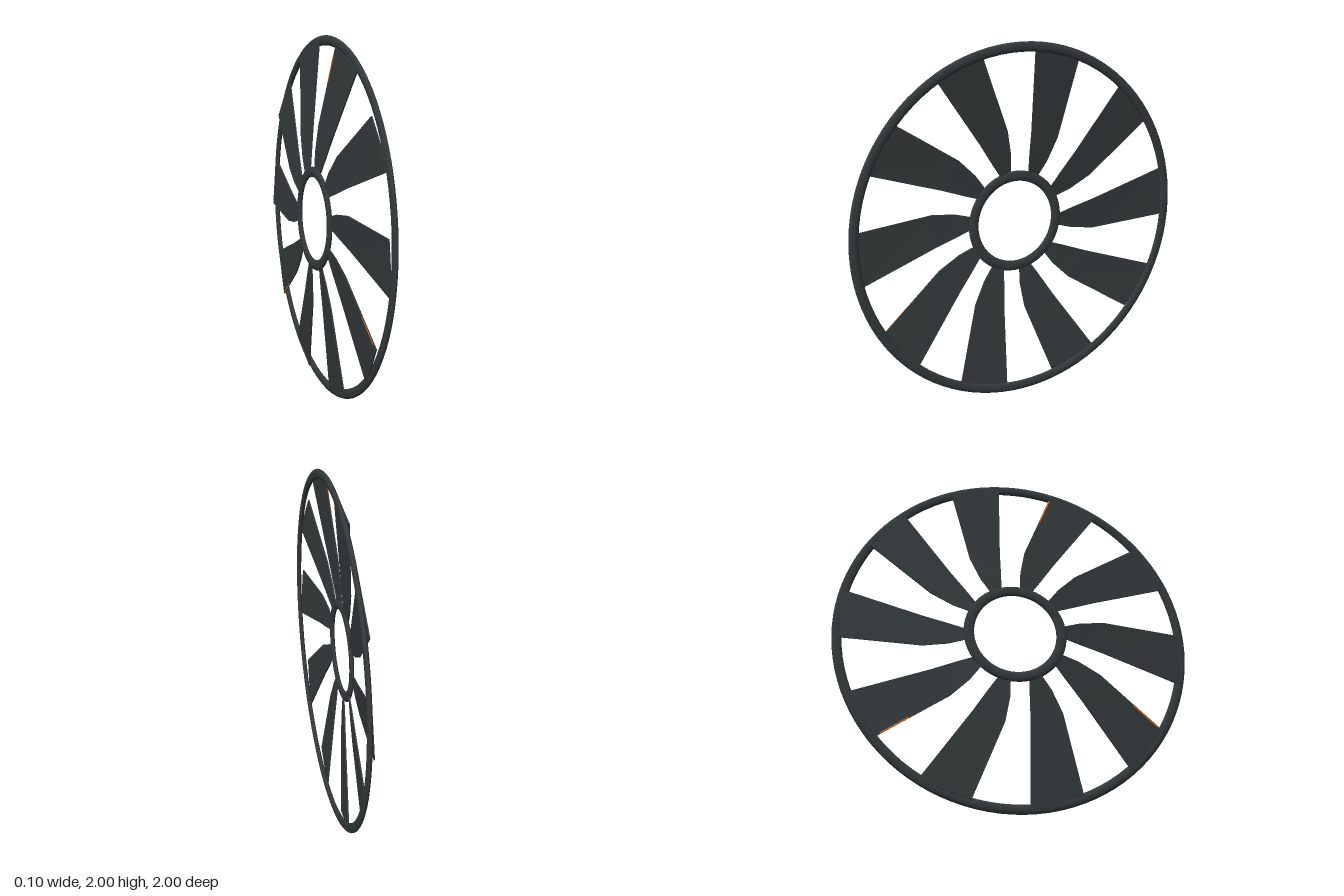
import * as THREE from 'three';

const dark = new THREE.MeshStandardMaterial({ color: 0x343a3c });
const orange = new THREE.MeshStandardMaterial({ color: 0xc8641e });

// Loft of four-cornered sections running outwards along -z.
// Section: [radius, leading y, leading x, trailing y, trailing x, thickness]
function loft(sections) {
  const pos = [];
  const rings = sections.map(([r, yl, xl, yt, xt, t]) => [
    [xl + t / 2, yl, -r], [xl - t / 2, yl, -r],
    [xt - t / 2, yt, -r], [xt + t / 2, yt, -r],
  ]);
  const quad = (a, b, c, d) => [a, b, c, a, c, d].forEach((p) => pos.push(...p));
  for (let i = 0; i + 1 < rings.length; i++) {
    const a = rings[i], b = rings[i + 1];
    for (let j = 0; j < 4; j++) {
      const k = (j + 1) % 4;
      quad(a[j], b[j], b[k], a[k]);
    }
  }
  const first = rings[0], last = rings[rings.length - 1];
  quad(first[0], first[1], first[2], first[3]);
  quad(last[3], last[2], last[1], last[0]);
  const geo = new THREE.BufferGeometry();
  geo.setAttribute('position', new THREE.Float32BufferAttribute(pos, 3));
  geo.computeVertexNormals();
  return geo;
}

// Ring with an oval section, lying in the yz plane
function ring(name, radius, halfWidth, halfDepth, x) {
  const geo = new THREE.TorusGeometry(radius, halfWidth, 16, 96);
  geo.scale(1, 1, halfDepth / halfWidth);
  geo.rotateY(Math.PI / 2);
  const mesh = new THREE.Mesh(geo, dark);
  mesh.name = name;
  mesh.position.x = x;
  return mesh;
}

export function createModel() {
  const model = new THREE.Group();
  model.name = 'fanWheel';
  const wheel = new THREE.Group();
  wheel.name = 'wheel';
  wheel.position.y = 1;
  model.add(wheel);

  // Outer rim and the hub ring set back from it
  wheel.add(ring('outerRim', 0.973, 0.027, 0.013, 0.035));
  wheel.add(ring('hubRing', 0.26, 0.029, 0.012, -0.037));

  // Pitched blades, widening towards the rim
  const bladeGeo = loft([
    [0.255, 0.0, -0.033, -0.055, -0.042, 0.007],
    [0.37, 0.035, -0.024, -0.09, -0.036, 0.007],
    [0.51, 0.074, -0.012, -0.109, -0.027, 0.007],
    [0.96, 0.217, 0.027, -0.08, 0.008, 0.007],
  ]);
  // Thin coloured strip along the trailing edge
  const stripGeo = loft([
    [0.76, -0.085, -0.01, -0.094, -0.0105, 0.002],
    [0.93, -0.074, 0.0025, -0.083, 0.002, 0.002],
  ]);
  const count = 10;
  for (let i = 0; i < count; i++) {
    const arm = new THREE.Group();
    arm.name = 'bladeArm' + i;
    arm.rotation.x = (i / count) * Math.PI * 2;
    const blade = new THREE.Mesh(bladeGeo, dark);
    blade.name = 'blade';
    arm.add(blade);
    if (i > 0 && i % 3 === 0) {
      const strip = new THREE.Mesh(stripGeo, orange);
      strip.name = 'edgeStrip';
      arm.add(strip);
    }
    wheel.add(arm);
  }
  return model;
}
